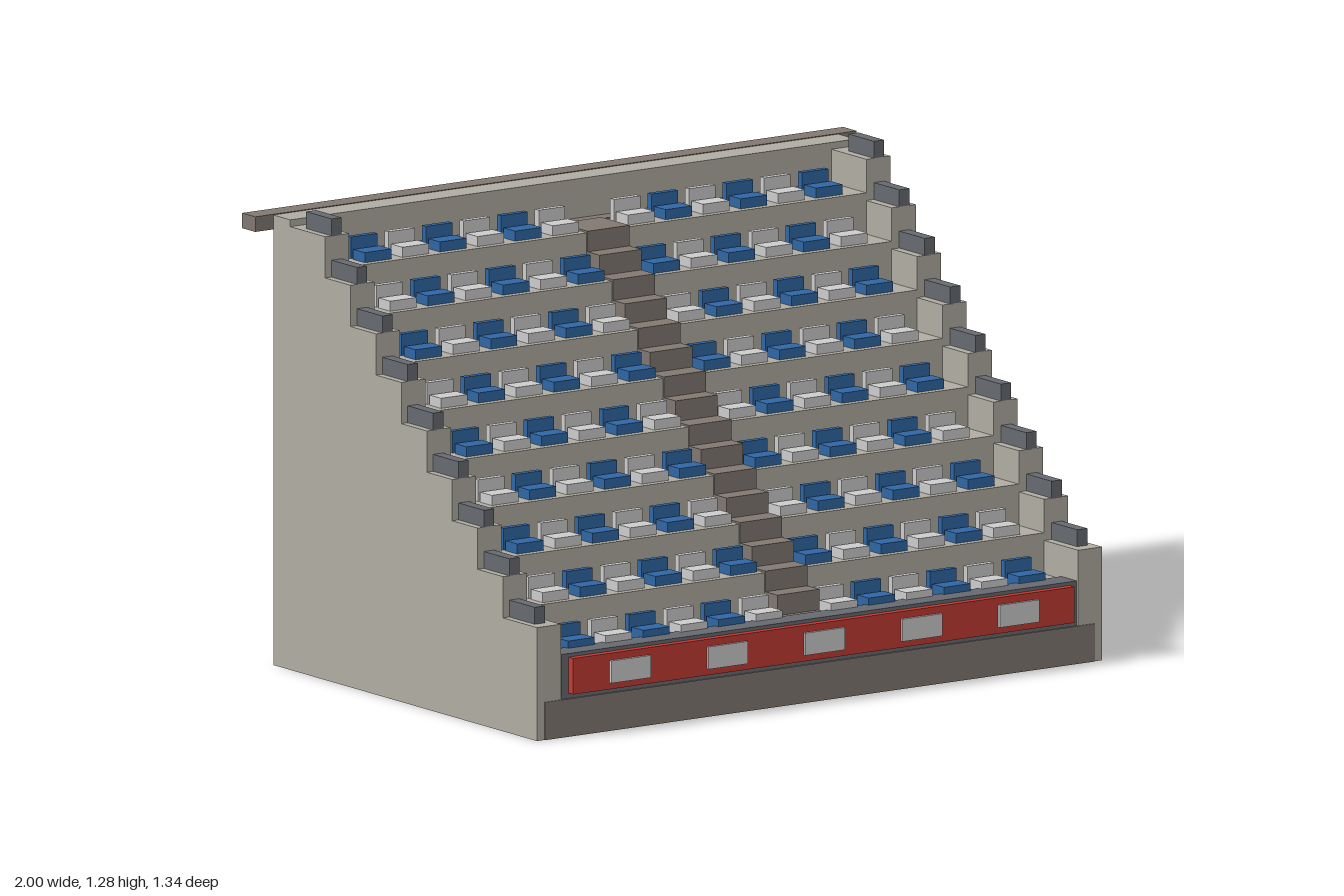
import * as THREE from 'three';

const ROWS = 9, DEPTH = 0.12, RISE = 0.1145;
const FRONT = 0.60, FLOOR = 0.222, BACK = -0.605;

const mat = (color) => new THREE.MeshStandardMaterial({ color });

export function createModel() {
  const model = new THREE.Group();
  const concrete = mat(0xb0aca2), brown = mat(0x807870), steel = mat(0x666a70);
  const blue = mat(0x2f66a4), white = mat(0xd4d4d0), red = mat(0xc23a32);

  // box given by its minimum and maximum corners
  const box = (name, m, x0, x1, y0, y1, z0, z1, parent = model) => {
    const mesh = new THREE.Mesh(new THREE.BoxGeometry(x1 - x0, y1 - y0, z1 - z0), m);
    mesh.position.set((x0 + x1) / 2, (y0 + y1) / 2, (z0 + z1) / 2);
    mesh.name = name;
    parent.add(mesh);
    return mesh;
  };

  // stepped profile (z, y) extruded across x
  const stepped = (name, m, x0, x1, points) => {
    const shape = new THREE.Shape(points.map(([z, y]) => new THREE.Vector2(-z, y)));
    const geo = new THREE.ExtrudeGeometry(shape, { depth: x1 - x0, bevelEnabled: false });
    geo.rotateY(Math.PI / 2);
    geo.translate(x0, 0, 0);
    const mesh = new THREE.Mesh(geo, m);
    mesh.name = name;
    model.add(mesh);
  };
  const stairProfile = (front, base, back, count, depth, rise, start) => {
    const pts = [[back, 0], [front, 0]];
    for (let i = 0; i < count; i++) {
      const y = base + rise * i;
      pts.push([i ? start - depth * i : front, y]);
      pts.push([i === count - 1 ? back : start - depth * (i + 1), y]);
    }
    return pts;
  };

  // seating tiers and stepped side walls
  stepped('seatingTiers', concrete, -0.86, 0.86,
    stairProfile(FRONT, FLOOR, -0.53, ROWS, DEPTH, RISE, FRONT));
  for (const x of [-0.94, 0.86]) {
    stepped('sideWall', concrete, x, x + 0.08,
      stairProfile(0.64, 0.315, -0.53, ROWS, DEPTH, RISE, FRONT));
  }

  // rail block on every wall step
  for (const s of [-1, 1]) {
    for (let i = 0; i < ROWS; i++) {
      const z = FRONT - DEPTH * i, y = 0.313 + RISE * i;
      box('wallRail', steel, s * 0.902 - 0.017, s * 0.902 + 0.017, y, y + 0.049, z - DEPTH, z);
    }
  }

  // central aisle with a half step before each riser
  for (let i = 0; i < ROWS; i++) {
    const z = FRONT - DEPTH * i, y = FLOOR + RISE * i + 0.005;
    box('aisleStep', brown, -0.07, 0.07, y - 0.11, y, z - DEPTH - 0.01, z + 0.004);
    if (i < ROWS - 1) {
      box('aisleHalfStep', brown, -0.07, 0.07, y, y + RISE / 2, z - DEPTH, z - DEPTH / 2);
    }
  }

  // seats, alternating in colour and mirrored about the aisle
  for (let i = 0; i < ROWS; i++) {
    for (let k = 0; k < 6; k++) {
      for (const s of [-1, 1]) {
        const seat = new THREE.Group();
        seat.name = 'seat';
        const m = (i + k) % 2 ? blue : white;
        box('seatCushion', m, -0.044, 0.044, 0, 0.028, 0.03, 0.085, seat);
        box('seatBack', m, -0.044, 0.044, 0, 0.06, 0, 0.019, seat);
        seat.position.set(s * (0.125 + 0.125 * k), FLOOR + RISE * i, 0.495 - DEPTH * i);
        model.add(seat);
      }
    }
  }

  // rear walkway, back wall, top beam and buttresses
  box('rearWalkway', brown, -0.86, 0.86, 1.1, 1.141, -0.53, -0.482);
  box('backWall', concrete, -0.94, 0.94, 0, 1.25, BACK, -0.525);
  box('topBeam', brown, -1, 1, 1.21, 1.252, -0.668, BACK);
  for (let i = -2; i <= 2; i++) {
    box('buttress', brown, i * 0.313 - 0.03, i * 0.313 + 0.03, 0, 1.21, -0.637, BACK);
  }

  // front plinth, barrier and banner with pale panels
  box('frontPlinth', brown, -0.915, 0.915, 0, 0.105, 0.56, 0.643);
  box('frontBarrier', steel, -0.857, 0.857, 0.105, 0.23, 0.565, 0.638);
  box('banner', red, -0.834, 0.834, 0.12, 0.22, 0.638, 0.66);
  for (let i = -2; i <= 2; i++) {
    box('bannerPanel', white, i * 0.323 - 0.066, i * 0.323 + 0.066, 0.138, 0.2, 0.66, 0.668);
  }

  return model;
}
